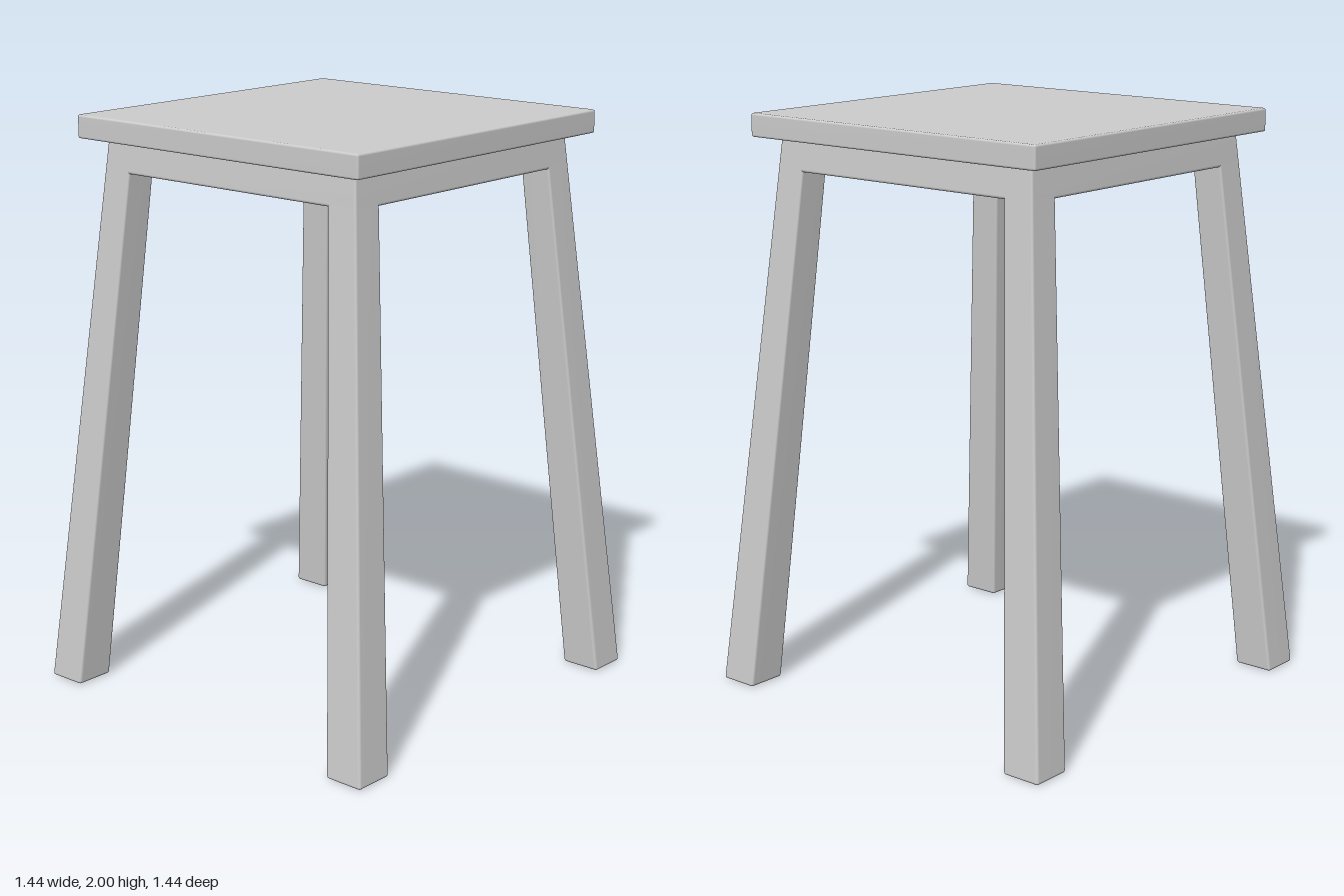
import * as THREE from 'three';
import { RoundedBoxGeometry } from 'three/addons/geometries/RoundedBoxGeometry.js';
import { mergeVertices } from 'three/addons/utils/BufferGeometryUtils.js';

const SEAT_BOTTOM = 1.92, APRON_BOTTOM = 1.81;
const material = new THREE.MeshStandardMaterial({ color: 0xcccccc });

// Half-width of the splayed frame at height y: outer face and inner leg face
const outer = y => 0.721 - 0.0922 * y;
const inner = y => 0.578 - 0.0765 * y;

// Softly rounded box whose vertices are moved by a rule, with smooth normals
function softBox(w, h, d, radius, rule) {
  let g = new RoundedBoxGeometry(w, h, d, 3, radius);
  const p = g.attributes.position;
  if (rule) {
    for (let i = 0; i < p.count; i++) {
      p.setXYZ(i, ...rule(p.getX(i) / w, p.getY(i), p.getZ(i) / d));
    }
  }
  g.deleteAttribute('uv');
  g.deleteAttribute('normal');
  g = mergeVertices(g, 1e-5);
  g.computeVertexNormals();
  return g;
}

export function createModel() {
  const group = new THREE.Group();
  const add = (name, geometry) => {
    const mesh = new THREE.Mesh(geometry, material);
    mesh.name = name;
    group.add(mesh);
    return mesh;
  };

  // Square seat slab
  add('seat', softBox(1.232, 0.08, 1.232, 0.008)).position.y = 1.96;

  // Solid apron under the seat, following the slope of the legs
  const apronTop = SEAT_BOTTOM + 0.02;
  const apronH = apronTop - APRON_BOTTOM;
  add('apron', softBox(1.1, apronH, 1.1, 0.01, (u, v, w) => {
    const y = v + (apronTop + APRON_BOTTOM) / 2;
    return [2 * u * outer(y), y, 2 * w * outer(y)];
  }));

  // Four splayed, slightly tapering legs
  const legH = SEAT_BOTTOM + 0.02;
  for (const [front, sz] of [['front', 1], ['back', -1]]) {
    for (const [side, sx] of [['Left', 1], ['Right', -1]]) {
      add(front + side + 'Leg', softBox(0.143, legH, 0.143, 0.01, (u, v, w) => {
        const y = v + legH / 2;
        const mid = (outer(y) + inner(y)) / 2, width = outer(y) - inner(y);
        return [sx * mid + u * width, y, sz * mid + w * width];
      }));
    }
  }
  return group;
}
